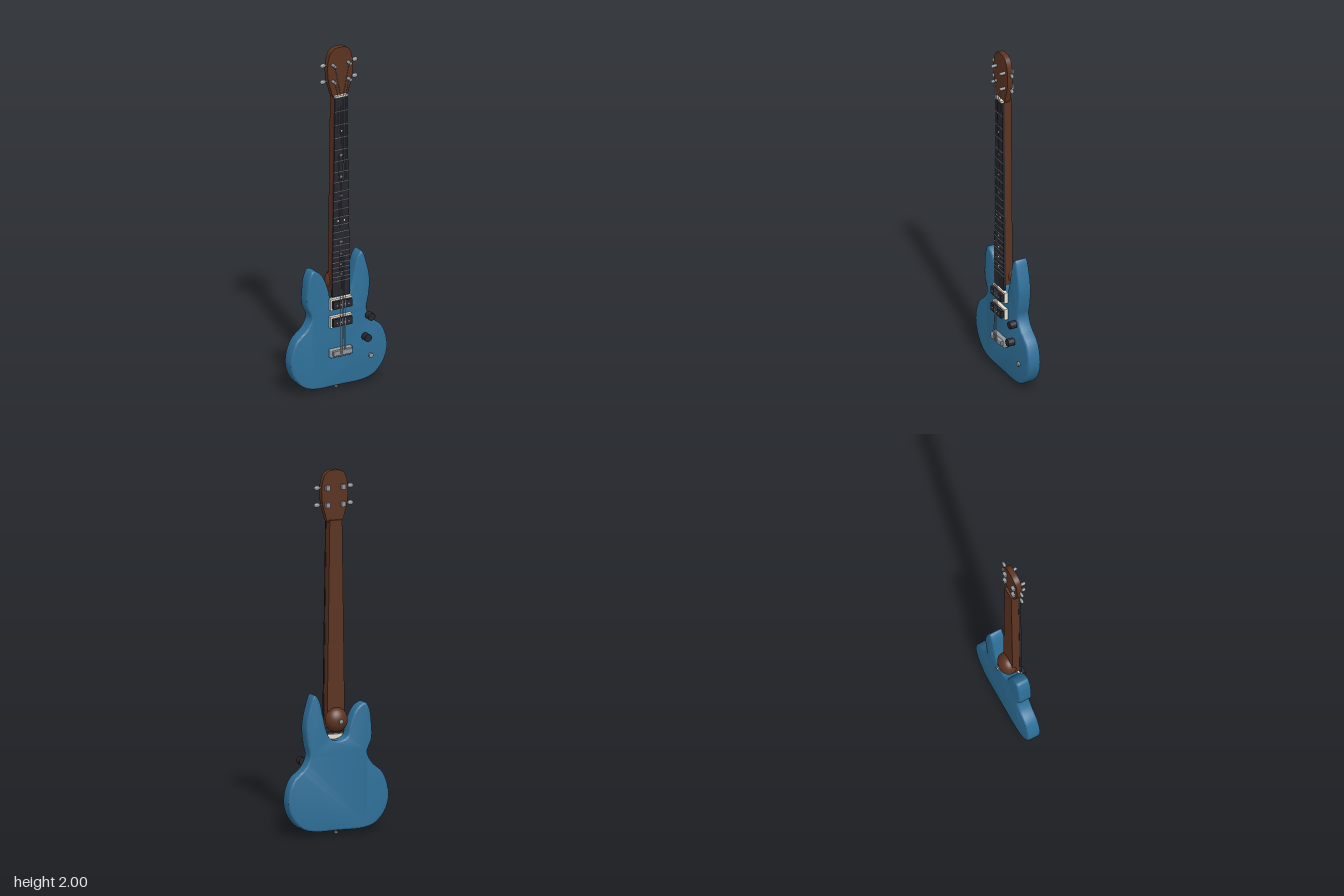
import * as THREE from 'three';
import { toCreasedNormals } from 'three/addons/utils/BufferGeometryUtils.js';
import { RoundedBoxGeometry } from 'three/addons/geometries/RoundedBoxGeometry.js';

const mat = (name, color) => {
  const m = new THREE.MeshStandardMaterial({ color });
  m.name = name;
  return m;
};

export function createModel() {
  const model = new THREE.Group();
  model.name = 'electricBass';
  const blue = mat('bodyBlue', 0x2e7099);
  const brown = mat('neckWood', 0x5c3320);
  const black = mat('black', 0x25252d);
  const cream = mat('cream', 0xe6e0cf);
  const steel = mat('steel', 0x92969b);

  const add = (name, geo, material, x = 0, y = 0, z = 0) => {
    const m = new THREE.Mesh(geo, material);
    m.name = name;
    m.position.set(x, y, z);
    model.add(m);
    return m;
  };
  const box = (name, material, w, h, d, x, y, z) =>
    add(name, new THREE.BoxGeometry(w, h, d), material, x, y, z);
  // Cylinder whose axis runs along z
  const disc = (name, material, r, d, x, y, z, n = 16) =>
    add(name, new THREE.CylinderGeometry(r, r, d, n).rotateX(Math.PI / 2), material, x, y, z);
  // Thin rod between two points
  const rod = (name, material, a, b, r) => {
    const dir = b.clone().sub(a);
    const m = add(name, new THREE.CylinderGeometry(r, r, dir.length(), 6), material);
    m.position.copy(a).add(b).multiplyScalar(0.5);
    m.quaternion.setFromUnitVectors(new THREE.Vector3(0, 1, 0), dir.normalize());
  };
  // Box that narrows from y0 to y1
  const tapered = (y0, y1, w0, w1, z0, z1) => {
    const g = new THREE.BoxGeometry(1, y1 - y0, z1 - z0);
    g.translate(0, (y0 + y1) / 2, (z0 + z1) / 2);
    const p = g.attributes.position;
    for (let i = 0; i < p.count; i++) {
      p.setX(i, p.getX(i) * (p.getY(i) > (y0 + y1) / 2 ? w1 : w0));
    }
    g.computeVertexNormals();
    return g;
  };
  // Slab from a closed smooth outline
  const slab = (pts, z0, z1, bevel, steps) => {
    const curve = new THREE.CatmullRomCurve3(
      pts.map(([x, y]) => new THREE.Vector3(x, y, 0)), true, 'centripetal');
    const shape = new THREE.Shape(
      curve.getPoints(steps).slice(0, -1).map((p) => new THREE.Vector2(p.x, p.y)));
    const g = new THREE.ExtrudeGeometry(shape, {
      depth: z1 - z0 - 2 * bevel, bevelEnabled: bevel > 0, bevelThickness: bevel,
      bevelSize: bevel, bevelOffset: -bevel, bevelSegments: 3,
    });
    g.translate(0, 0, z0 + bevel);
    return toCreasedNormals(g, 0.6);
  };

  // Double-horned body
  add('body', slab([
    [0, 0.02], [0.15, 0.022], [0.22, 0.045], [0.28, 0.112], [0.301, 0.2], [0.27, 0.31],
    [0.2, 0.375], [0.172, 0.435], [0.184, 0.505], [0.192, 0.6], [0.173, 0.7],
    [0.143, 0.775], [0.116, 0.745], [0.094, 0.66], [0.073, 0.575], [0.05, 0.53], [0, 0.513],
    [-0.05, 0.53], [-0.068, 0.59], [-0.095, 0.66], [-0.125, 0.697], [-0.163, 0.713],
    [-0.186, 0.675], [-0.197, 0.6], [-0.198, 0.51], [-0.172, 0.44], [-0.2, 0.38],
    [-0.268, 0.315], [-0.301, 0.2], [-0.28, 0.112], [-0.22, 0.045], [-0.15, 0.022],
  ], -0.048, 0.028, 0.01, 160), blue);

  // Neck, heel and fingerboard
  add('neck', tapered(0.58, 1.725, 0.106, 0.074, -0.01, 0.036), brown);
  const heel = add('neckHeel', new THREE.SphereGeometry(1, 28, 18), brown, 0, 0.625, -0.014);
  heel.scale.set(0.064, 0.068, 0.052);
  add('fingerboard', tapered(0.55, 1.715, 0.112, 0.076, 0.034, 0.047), black);
  box('nut', cream, 0.076, 0.012, 0.022, 0, 1.719, 0.043);

  // Frets and position dots
  const nutY = 1.715, scaleLength = 1.495;
  const fretY = (n) => nutY - scaleLength * (1 - 2 ** (-n / 12));
  const boardWidth = (y) => 0.112 - 0.036 * (y - 0.55) / 1.165;
  for (let n = 1; n <= 22; n++) {
    box('fret', steel, boardWidth(fretY(n)), 0.003, 0.004, 0, fretY(n), 0.048);
  }
  for (const n of [3, 5, 7, 9, 12, 15, 17, 19, 21]) {
    const y = (fretY(n) + fretY(n - 1)) / 2;
    for (const x of n === 12 ? [-0.018, 0.018] : [0]) {
      disc('positionDot', cream, 0.006, 0.003, x, y, 0.0465, 12);
    }
  }

  // Headstock
  add('headstock', slab([
    [0.038, 1.712], [0.06, 1.765], [0.075, 1.825], [0.077, 1.915], [0.058, 1.978], [0.03, 1.997],
    [0, 2], [-0.03, 1.997], [-0.058, 1.978], [-0.077, 1.915], [-0.075, 1.825], [-0.06, 1.765],
    [-0.038, 1.712],
  ], 0.004, 0.036, 0, 72), brown);

  // Tuners
  for (const side of [-1, 1]) {
    for (const y of [1.81, 1.905]) {
      disc('tunerPost', steel, 0.009, 0.034, side * 0.048, y, 0.052, 12);
      box('tunerHousing', steel, 0.024, 0.028, 0.019, side * 0.047, y, -0.005);
      rod('tunerShaft', steel, new THREE.Vector3(side * 0.05, y, 0.02),
        new THREE.Vector3(side * 0.09, y, 0.02), 0.004);
      const key = add('tunerKey', new THREE.SphereGeometry(1, 14, 10), steel, side * 0.1, y, 0.02);
      key.scale.set(0.018, 0.013, 0.009);
    }
  }

  // Pickups
  for (const y of [0.506, 0.403]) {
    box('pickupRing', cream, 0.134, 0.065, 0.022, 0, y, 0.037);
    box('pickupCover', black, 0.118, 0.044, 0.02, 0, y, 0.056);
    for (let i = 0; i < 4; i++) {
      disc('pickupPole', steel, 0.005, 0.004, -0.036 + i * 0.024, y, 0.0665, 10);
    }
  }

  // Bridge
  add('bridge', new RoundedBoxGeometry(0.138, 0.05, 0.026, 3, 0.007), steel, 0, 0.22, 0.039);
  add('bridgeSaddles', new RoundedBoxGeometry(0.118, 0.03, 0.03, 2, 0.004), steel, 0, 0.224, 0.053);

  // Strings, from bridge to nut and on to the posts
  for (let i = 0; i < 4; i++) {
    const t = i - 1.5;
    const atNut = new THREE.Vector3(t * 0.016, 1.72, 0.055);
    rod('string', steel, new THREE.Vector3(t * 0.01, 0.22, 0.069), atNut, 0.0015);
    const post = new THREE.Vector3(Math.sign(t) * 0.045, Math.abs(t) > 1 ? 1.81 : 1.905, 0.055);
    rod('stringEnd', steel, atNut, post, 0.0015);
  }

  // Controls and output socket
  disc('volumeKnob', black, 0.022, 0.038, 0.174, 0.4, 0.06, 14);
  disc('toneKnob', black, 0.022, 0.038, 0.152, 0.28, 0.06, 14);
  disc('outputSocket', steel, 0.013, 0.014, 0.193, 0.157, 0.032);

  // Strap buttons
  disc('heelStrapPost', steel, 0.005, 0.02, 0, 0.625, -0.067, 12);
  disc('heelStrapButton', steel, 0.012, 0.008, 0, 0.625, -0.077);
  add('endStrapPost', new THREE.CylinderGeometry(0.006, 0.006, 0.022, 12), steel, 0, 0.015, -0.01);
  add('endStrapButton', new THREE.CylinderGeometry(0.012, 0.012, 0.008, 16), steel, 0, 0.004, -0.01);

  return model;
}
